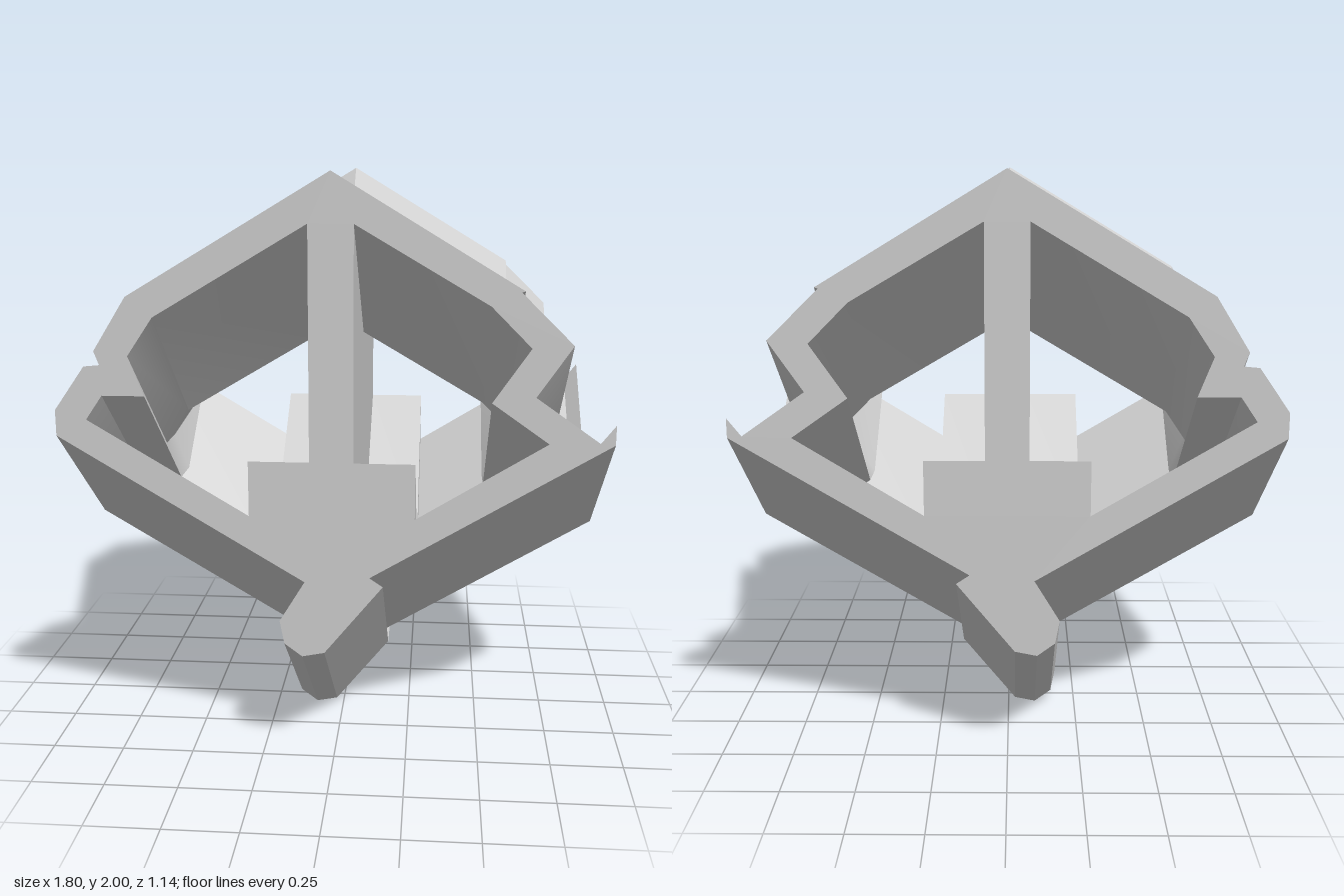
import * as THREE from 'three';
import { toCreasedNormals } from 'three/addons/utils/BufferGeometryUtils.js';

const HALF_DEPTH = 0.57; // front and back ends of the sweep
const HALF_FLAT = 0.068; // level stretch in the middle
const DROP = 0.405; // how far the middle sags below the ends

const points = (list) => list.map(([x, y]) => new THREE.Vector2(x, y));

// Outer contour of the frame, clockwise from the peak, including the foot
const outline = [
  [0, 2], [0.603, 1.638], [0.592, 1.634], [0.76, 1.47],
  [0.648, 1.305], [0.855, 1.16], [0.902, 1.22], [0.902, 1.155],
  [0.125, 0.69], [0.17, 0.66], [-0.025, 0.42], [-0.1, 0.405],
  [-0.16, 0.45], [-0.175, 0.53], [-0.09, 0.67],
  [-0.902, 1.155], [-0.902, 1.24], [-0.8, 1.385], [-0.748, 1.39],
  [-0.765, 1.435], [-0.655, 1.61],
];

// Openings on either side of the central post, counter-clockwise
const leftOpening = [
  [0.072, 1.08], [0.272, 1.08], [0.272, 0.895], [0.695, 1.155],
  [0.51, 1.285], [0.63, 1.46], [0.5, 1.59], [0.072, 1.84],
];
const rightOpening = [
  [-0.072, 1.84], [-0.57, 1.545], [-0.655, 1.42], [-0.605, 1.29],
  [-0.745, 1.29], [-0.8, 1.21], [-0.272, 0.895], [-0.272, 1.08], [-0.072, 1.08],
];

// Extrude in three steps, then bend the layers into a V along z
function makeChevronSweep() {
  const shape = new THREE.Shape(points(outline));
  for (const hole of [leftOpening, rightOpening]) {
    shape.holes.push(new THREE.Path(points(hole)));
  }
  const geometry = new THREE.ExtrudeGeometry(shape, { depth: 3, steps: 3, bevelEnabled: false });
  const layers = [-HALF_DEPTH, -HALF_FLAT, HALF_FLAT, HALF_DEPTH];
  const position = geometry.attributes.position;
  for (let i = 0; i < position.count; i++) {
    const layer = Math.round(position.getZ(i));
    const inner = layer === 1 || layer === 2;
    position.setZ(i, layers[layer]);
    position.setY(i, position.getY(i) - (inner ? DROP : 0));
  }
  // Only the gentle bends of the steep side walls are shaded smooth
  return toCreasedNormals(geometry, THREE.MathUtils.degToRad(25.5));
}

export function createModel() {
  const model = new THREE.Group();
  model.name = 'chevronFrame';

  const grey = new THREE.MeshStandardMaterial({ color: 0xcccccc });
  grey.name = 'grey';

  const frame = new THREE.Mesh(makeChevronSweep(), grey);
  frame.name = 'frameWithPostAndFoot';
  model.add(frame);
  return model;
}
